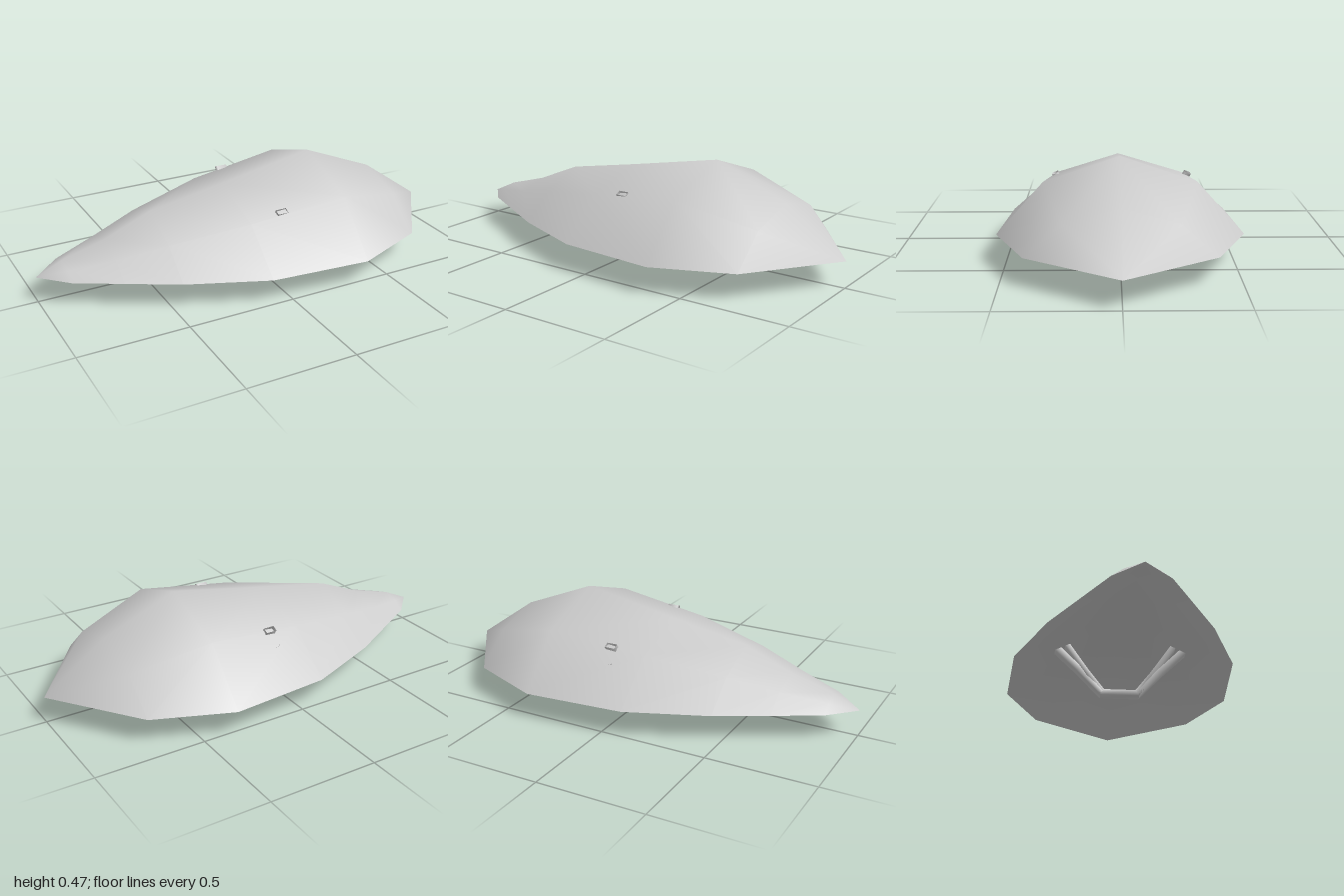
import * as THREE from 'three';
import { mergeVertices } from 'three/addons/utils/BufferGeometryUtils.js';

// Smooth surface through equal-length rows of [x, y, z] points
function loft(rows, closed) {
  const n = rows[0].length;
  const index = [];
  for (let i = 0; i < rows.length - 1; i++) {
    for (let j = 0; j < (closed ? n : n - 1); j++) {
      const k = (j + 1) % n;
      const a = i * n + j, b = a + n, c = i * n + k, d = c + n;
      // Open surfaces are split symmetrically about their middle
      if (!closed && j >= (n - 1) / 2) index.push(a, b, d, a, d, c);
      else index.push(a, b, c, b, d, c);
    }
  }
  const geo = new THREE.BufferGeometry();
  geo.setAttribute('position', new THREE.Float32BufferAttribute(rows.flat(2), 3));
  geo.setIndex(index);
  const merged = mergeVertices(geo);
  merged.computeVertexNormals();
  return merged;
}

export function createModel() {
  const group = new THREE.Group();
  const steel = new THREE.MeshStandardMaterial({ color: 0xcccccc, side: THREE.DoubleSide });
  steel.name = 'steel grey';

  function add(name, rows, closed) {
    const mesh = new THREE.Mesh(loft(rows, closed), steel);
    mesh.name = name;
    group.add(mesh);
  }

  // Shield sections: x, rim half width, shoulder z, shoulder y, ridge y
  const rimY = 0.12;
  const sections = [
    [-1, 0, 0, rimY, rimY],
    [-0.88, 0.12, 0.07, 0.155, 0.175],
    [-0.68, 0.232, 0.14, 0.19, 0.23],
    [-0.46, 0.355, 0.21, 0.24, 0.32],
    [-0.1, 0.502, 0.295, 0.3, 0.383],
    [0.36, 0.543, 0.335, 0.355, 0.468],
    [0.71, 0.4, 0.24, 0.26, 0.325],
    [1, 0, 0, rimY, rimY],
  ];
  add('shieldShell', sections.map(([x, w, sz, sy, ry]) => [
    [x, rimY, w], [x, sy, sz], [x, ry, 0], [x, sy, -sz], [x, rimY, -w],
  ]), false);

  // Flatter lining, running straight from the rim up to just under the ridge
  add('shieldLining', sections.map(([x, w, , , ry]) => [
    [x, rimY, -w], [x, Math.max(rimY, ry - 0.012), 0], [x, rimY, w],
  ]), false);

  // Handle straps: rows of outer z, y and inner z, y swept with a flat section
  const x0 = 0.03, x1 = 0.08, midZ = -0.01;
  const strap = (path) => path.map(([oz, oy, iz, iy]) => [
    [x0, oy, oz + midZ], [x0, iy, iz + midZ], [x1, iy, iz + midZ], [x1, oy, oz + midZ],
  ]);
  const mirrored = (path) => path.map(([a, b, c, d]) => [-a, b, -c, d]).reverse();

  // Grip with its two arms, whose ends pass through the shell
  const arm = [
    [0.32, 0.325, 0.294, 0.336],
    [0.172, 0.12, 0.145, 0.12],
    [0.091, 0, 0.073, 0.027],
  ];
  add('handleGrip', strap([...arm, ...mirrored(arm)]), true);

  // Braces forking outward from each arm to the lining
  const brace = [
    [0.35, 0.26, 0.325, 0.28],
    [0.205, 0.12, 0.174, 0.13],
    [0.091, 0, 0.08, 0.02],
  ];
  add('frontBrace', strap(brace), true);
  add('backBrace', strap(mirrored(brace)), true);

  return group;
}
